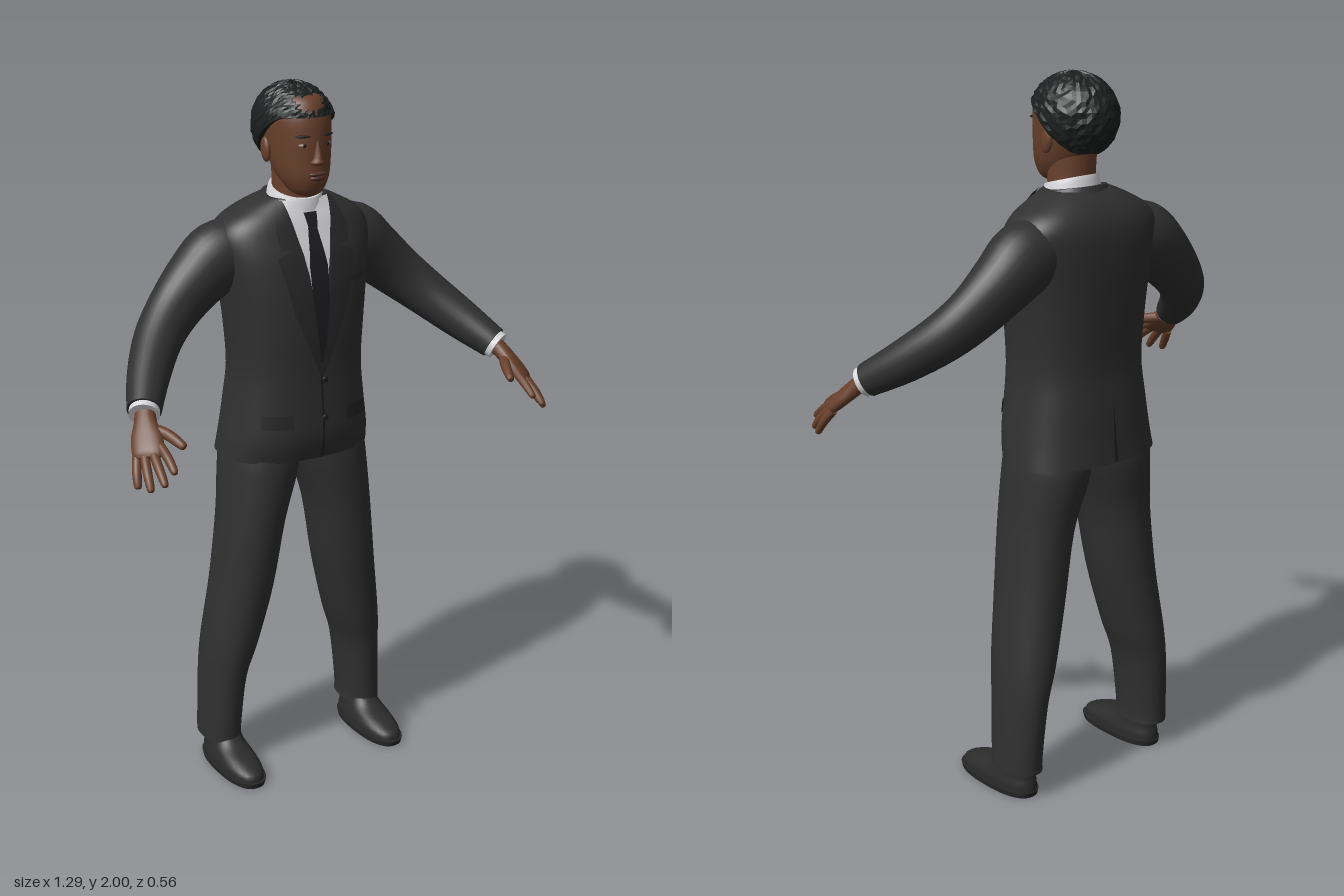
import * as THREE from 'three';

const mat = (name, color, side = THREE.FrontSide) => {
  const m = new THREE.MeshStandardMaterial({ color, side });
  m.name = name;
  return m;
};

// Catmull-Rom blend of section rows, `k` steps per span
function refine(rows, k) {
  const out = [], last = rows.length - 1;
  for (let i = 0; i < last; i++) {
    const [a, b, c, d] = [rows[Math.max(i - 1, 0)], rows[i], rows[i + 1], rows[Math.min(i + 2, last)]];
    for (let j = 0; j < k; j++) {
      const t = j / k;
      out.push(b.map((p, q) => p + 0.5 * t * (c[q] - a[q] + t * (2 * a[q] - 5 * p + 4 * c[q] - d[q] + t * (3 * (p - c[q]) + d[q] - a[q])))));
    }
  }
  out.push(rows[last]);
  return out;
}

// Closed loft through sections [x, y, z, rx, rz]. Sections lie flat, or across the path when `ref` is given.
function loft(rows, { n = 28, e = 2, k = 4, ref = null, tilt = 0 } = {}) {
  const secs = refine(rows, k), pos = [], idx = [];
  const centres = secs.map(s => new THREE.Vector3(s[0], s[1], s[2]));
  const pow = v => Math.sign(v) * Math.pow(Math.abs(v), 2 / e);
  const rings = secs.map((s, j) => {
    const U = new THREE.Vector3(1, 0, 0), W = new THREE.Vector3(0, -tilt, 1);
    if (ref) {
      const T = centres[Math.min(j + 1, secs.length - 1)].clone().sub(centres[Math.max(j - 1, 0)]).normalize();
      U.copy(ref).addScaledVector(T, -ref.dot(T)).normalize();
      W.crossVectors(U, T);
    }
    return Array.from({ length: n }, (_, i) => {
      const a = (i / n) * Math.PI * 2;
      return centres[j].clone().addScaledVector(U, s[3] * pow(Math.cos(a))).addScaledVector(W, s[4] * pow(Math.sin(a)));
    });
  });
  rings.forEach(r => r.forEach(p => pos.push(p.x, p.y, p.z)));
  for (let j = 0; j < rings.length - 1; j++) for (let i = 0; i < n; i++) {
    const a = j * n + i, b = j * n + (i + 1) % n;
    idx.push(a, a + n, b, b, a + n, b + n);
  }
  for (const j of [0, rings.length - 1]) {
    const c = pos.length / 3;
    pos.push(...centres[j].toArray());
    rings[j].forEach(p => pos.push(p.x, p.y, p.z));
    for (let i = 0; i < n; i++) {
      const a = c + 1 + i, b = c + 1 + (i + 1) % n;
      idx.push(c, j ? b : a, j ? a : b);
    }
  }
  return build(pos, idx);
}

function build(pos, idx) {
  const g = new THREE.BufferGeometry();
  g.setAttribute('position', new THREE.Float32BufferAttribute(pos, 3));
  g.setIndex(idx);
  g.computeVertexNormals();
  return g;
}

// Jacket body sections, also used to lay plates on the cloth
const E = 2.5;
const TORSO = [
  [0, 0.965, -0.122, 0.222, 0.155], [0, 1.03, -0.11, 0.213, 0.16], [0, 1.12, -0.106, 0.2, 0.156],
  [0, 1.22, -0.102, 0.19, 0.15], [0, 1.34, -0.103, 0.197, 0.153], [0, 1.45, -0.108, 0.21, 0.152],
  [0, 1.54, -0.117, 0.225, 0.144], [0, 1.6, -0.125, 0.228, 0.13], [0, 1.64, -0.125, 0.2, 0.115],
  [0, 1.672, -0.12, 0.145, 0.095], [0, 1.695, -0.11, 0.095, 0.075],
];
const FINE = refine(TORSO, 4);
function clothZ(x, y, side) {
  let i = 0;
  while (i < FINE.length - 2 && FINE[i + 1][1] < y) i++;
  const t = THREE.MathUtils.clamp((y - FINE[i][1]) / (FINE[i + 1][1] - FINE[i][1]), 0, 1);
  const [, , cz, rx, rz] = FINE[i].map((v, q) => v + (FINE[i + 1][q] - v) * t);
  return cz + side * rz * Math.pow(Math.max(0, 1 - Math.pow(Math.abs(x) / rx, E)), 1 / E);
}

// Plate on the cloth from rows [y, x0, x1] going down; side -1 lays it on the back
function plate(rows, off, side = 1) {
  const pos = [], idx = [], cols = 6, k = 8;
  const count = (rows.length - 1) * k;
  for (let r = 0; r <= count; r++) {
    const i = Math.min(Math.floor(r / k), rows.length - 2), t = r / k - i;
    const [y, a, b] = rows[i].map((v, q) => v + (rows[i + 1][q] - v) * t);
    for (let c = 0; c <= cols; c++) {
      const x = a + (b - a) * c / cols;
      pos.push(x, y, clothZ(x, y, side) + off * side);
    }
  }
  const flip = (rows[0][2] + rows[1][2] > rows[0][1] + rows[1][1] ? 1 : -1) * side;
  for (let r = 0; r < count; r++) for (let c = 0; c < cols; c++) {
    const p = r * (cols + 1) + c, q = p + cols + 1;
    idx.push(...(flip > 0 ? [p, q, p + 1, p + 1, q, q + 1] : [p, p + 1, q, p + 1, q + 1, q]));
  }
  return build(pos, idx);
}

// Short tousled hair: cap whose lower edge drops from the brow to the nape
function hairCap() {
  let seed = 7;
  const rnd = () => (seed = (seed * 16807) % 2147483647) / 2147483647;
  const pos = [], idx = [], n = 56, m = 20;
  for (let j = 0; j <= m + 1; j++) for (let i = 0; i < n; i++) {
    const a = (i / n) * Math.PI * 2, fromFront = Math.abs(a > Math.PI ? a - 2 * Math.PI : a);
    const edge = 1.24 + 1.25 * THREE.MathUtils.smoothstep(fromFront, 0.8, 2.5);
    const phi = edge * Math.min(j, m) / m;
    const r = j > m ? 0.82 : j === 0 ? 1 : 0.97 + 0.045 * rnd();
    pos.push(0.109 * r * Math.sin(a) * Math.sin(phi), 1.883 + 0.116 * r * Math.cos(phi), -0.1 + 0.135 * r * Math.cos(a) * Math.sin(phi));
  }
  for (let j = 0; j <= m; j++) for (let i = 0; i < n; i++) {
    const a = j * n + i, b = j * n + (i + 1) % n;
    idx.push(a, a + n, b, b, a + n, b + n);
  }
  const g = build(pos, idx).toNonIndexed();
  g.computeVertexNormals();
  return g;
}

export function createModel() {
  const model = new THREE.Group();
  const suit = mat('suit cloth', 0x303030, THREE.DoubleSide);
  const trim = mat('suit trim', 0x282828, THREE.DoubleSide);
  const shirt = mat('white shirt', 0xd6d6da, THREE.DoubleSide);
  const tie = mat('dark tie', 0x1d1d21, THREE.DoubleSide);
  const skin = mat('skin', 0x68402b);
  const lip = mat('lips', 0x54302a);
  const hair = mat('hair', 0x1c1f1f, THREE.DoubleSide);
  const leather = mat('shoe leather', 0x2b2b2b);
  const eyeWhite = mat('eye white', 0x8f8278);
  const add = (name, geo, m) => {
    const mesh = new THREE.Mesh(geo, m);
    mesh.name = name;
    model.add(mesh);
    return mesh;
  };
  const ball = (name, m, p, s) => {
    const b = add(name, new THREE.SphereGeometry(1, 18, 12), m);
    b.position.set(...p);
    b.scale.set(...s);
    return b;
  };

  // Jacket, shirt front and tie
  add('jacketBody', loft(TORSO, { n: 48, e: E }), suit);
  add('shirtFront', plate([[1.692, -0.075, 0.075], [1.6, -0.052, 0.052], [1.5, -0.03, 0.03], [1.28, -0.004, 0.004]], 0.003), shirt);
  add('tieKnot', plate([[1.66, -0.02, 0.02], [1.62, -0.014, 0.014]], 0.009), tie);
  add('tieBlade', plate([[1.62, -0.014, 0.014], [1.52, -0.028, 0.028], [1.4, -0.026, 0.026], [1.25, -0.004, 0.004]], 0.006), tie);
  add('frontSeam', plate([[1.24, -0.003, 0.003], [0.97, 0.008, 0.014]], 0.003), tie);
  add('backVent', plate([[1.12, -0.001, 0.001], [0.968, -0.006, 0.006]], 0.003, -1), tie);
  add('breastPocket', plate([[1.48, 0.1, 0.16], [1.465, 0.1, 0.16]], 0.004), trim);
  for (const y of [1.2, 1.09]) ball('jacketButton', tie, [0.012, y, clothZ(0, y, 1) + 0.003], [0.009, 0.009, 0.004]);
  add('shirtCollar', loft([[0, 1.665, -0.09, 0.084, 0.082], [0, 1.7, -0.09, 0.076, 0.076], [0, 1.715, -0.09, 0.071, 0.072]], { tilt: 0.28 }), shirt);
  add('jacketCollar', loft([[0, 1.65, -0.115, 0.115, 0.088], [0, 1.68, -0.112, 0.096, 0.078], [0, 1.697, -0.11, 0.086, 0.072]], { tilt: 0.15 }), suit);

  // Head
  add('neck', loft([[0, 1.63, -0.1, 0.075, 0.075], [0, 1.7, -0.09, 0.064, 0.066], [0, 1.8, -0.09, 0.064, 0.072]]), skin);
  add('head', loft([
    [0, 1.705, -0.025, 0.022, 0.025], [0, 1.718, -0.035, 0.045, 0.053], [0, 1.755, -0.052, 0.067, 0.084],
    [0, 1.8, -0.068, 0.079, 0.1], [0, 1.86, -0.083, 0.086, 0.115], [0, 1.92, -0.09, 0.087, 0.115],
    [0, 1.965, -0.09, 0.066, 0.09], [0, 1.982, -0.09, 0.03, 0.04],
  ], { n: 36 }), skin);
  add('nose', loft([
    [0, 1.793, 0.022, 0.012, 0.012], [0, 1.801, 0.026, 0.021, 0.023], [0, 1.815, 0.026, 0.014, 0.02],
    [0, 1.845, 0.024, 0.008, 0.013], [0, 1.87, 0.021, 0.006, 0.009],
  ], { n: 16 }), skin);
  ball('upperLip', lip, [0, 1.771, 0.029, ], [0.027, 0.007, 0.012]);
  ball('lowerLip', lip, [0, 1.76, 0.027], [0.023, 0.008, 0.013]);
  add('hair', hairCap(), hair);

  for (const s of [1, -1]) {
    // Face features
    ball('eye', eyeWhite, [s * 0.035, 1.848, 0.014], [0.014, 0.006, 0.01]);
    ball('iris', hair, [s * 0.035, 1.848, 0.021], [0.006, 0.006, 0.004]);
    ball('brow', hair, [s * 0.037, 1.872, 0.018], [0.021, 0.004, 0.008]).rotation.set(0, s * 0.35, 0);
    ball('ear', skin, [s * 0.089, 1.825, -0.092], [0.011, 0.034, 0.02]).rotation.x = -0.15;

    // Collar points, lapels and pocket flaps
    const side = rows => rows.map(([y, a, b]) => [y, s * a, s * b]);
    add('collarPoint', plate(side([[1.69, 0.012, 0.075], [1.65, 0.018, 0.068], [1.595, 0.042, 0.046]]), 0.008), shirt);
    add('upperLapel', plate(side([[1.692, 0.07, 0.088], [1.62, 0.056, 0.11], [1.57, 0.046, 0.105]]), 0.009), trim);
    add('lowerLapel', plate(side([[1.57, 0.046, 0.075], [1.55, 0.042, 0.118], [1.4, 0.022, 0.082], [1.22, 0, 0.008]]), 0.009), trim);
    add('pocketFlap', plate(side([[1.11, 0.085, 0.165], [1.07, 0.085, 0.168]]), 0.005), trim);

    // Sleeve and shirt cuff
    const ref = new THREE.Vector3(0, 0, 1);
    add('sleeve', loft([
      [s * 0.13, 1.555, -0.135, 0.085, 0.085], [s * 0.21, 1.535, -0.14, 0.09, 0.1], [s * 0.28, 1.485, -0.14, 0.082, 0.088],
      [s * 0.36, 1.415, -0.122, 0.068, 0.076], [s * 0.43, 1.352, -0.08, 0.064, 0.067],
      [s * 0.5, 1.283, 0.0, 0.056, 0.058], [s * 0.555, 1.226, 0.085, 0.046, 0.046],
    ], { ref }), suit);
    add('shirtCuff', loft([[s * 0.545, 1.236, 0.07, 0.04, 0.04], [s * 0.562, 1.218, 0.098, 0.041, 0.041]], { ref, k: 1 }), shirt);

    // Hand
    const across = new THREE.Vector3(-s * 0.12, 0.06, 0.05);
    add('palm', loft([
      [s * 0.552, 1.23, 0.085, 0.027, 0.024], [s * 0.567, 1.205, 0.115, 0.03, 0.022],
      [s * 0.58, 1.177, 0.147, 0.042, 0.02], [s * 0.592, 1.148, 0.18, 0.043, 0.017], [s * 0.598, 1.137, 0.192, 0.034, 0.01],
    ], { ref: across, n: 20, e: 2.3 }), skin);
    const fingers = {
      thumb: [[0.565, 1.195, 0.125], [0.535, 1.185, 0.175], [0.513, 1.163, 0.232]],
      indexFinger: [[0.563, 1.165, 0.185], [0.562, 1.143, 0.232], [0.563, 1.115, 0.275]],
      middleFinger: [[0.583, 1.152, 0.185], [0.59, 1.122, 0.235], [0.594, 1.088, 0.28]],
      ringFinger: [[0.602, 1.14, 0.178], [0.614, 1.106, 0.218], [0.62, 1.068, 0.25]],
      littleFinger: [[0.616, 1.135, 0.162], [0.63, 1.1, 0.188], [0.637, 1.066, 0.208]],
    };
    for (const [name, pts] of Object.entries(fingers)) {
      const [a, b, c] = pts.map(p => [s * p[0], p[1], p[2]]);
      const r = name === 'thumb' ? 0.015 : 0.0125;
      const near = c.map((v, q) => b[q] + (v - b[q]) * 0.85);
      add(name, loft([[...a, r, r], [...b, r, r * 0.95], [...near, r * 0.8, r * 0.72], [...c, r * 0.3, r * 0.3]], { ref: across, n: 12, k: 3 }), skin);
    }

    // Trouser leg, rising from the hem
    add('trouserLeg', loft([
      [s * 0.24, 0.08, -0.138, 0.057, 0.086], [s * 0.24, 0.12, -0.138, 0.056, 0.087], [s * 0.228, 0.28, -0.136, 0.06, 0.098],
      [s * 0.207, 0.39, -0.128, 0.073, 0.108], [s * 0.172, 0.57, -0.114, 0.084, 0.114], [s * 0.143, 0.77, -0.107, 0.09, 0.122],
      [s * 0.117, 0.9, -0.113, 0.104, 0.134], [s * 0.106, 0.965, -0.115, 0.108, 0.134], [s * 0.1, 1.02, -0.11, 0.1, 0.12],
    ], { n: 32, e: 2.15 }), suit);

    // Shoe
    const x = s * 0.237;
    add('shoeSole', loft([[x, 0, -0.055, 0.058, 0.146], [x, 0.016, -0.055, 0.061, 0.15]], { n: 32, e: 2.4, k: 1 }), trim);
    add('shoeUpper', loft([
      [x, 0.012, -0.057, 0.057, 0.145], [x, 0.035, -0.06, 0.057, 0.14], [x, 0.055, -0.078, 0.052, 0.116],
      [x, 0.078, -0.112, 0.046, 0.08], [x, 0.11, -0.132, 0.044, 0.062],
    ], { n: 32, e: 2.3 }), leather);
  }
  return model;
}
